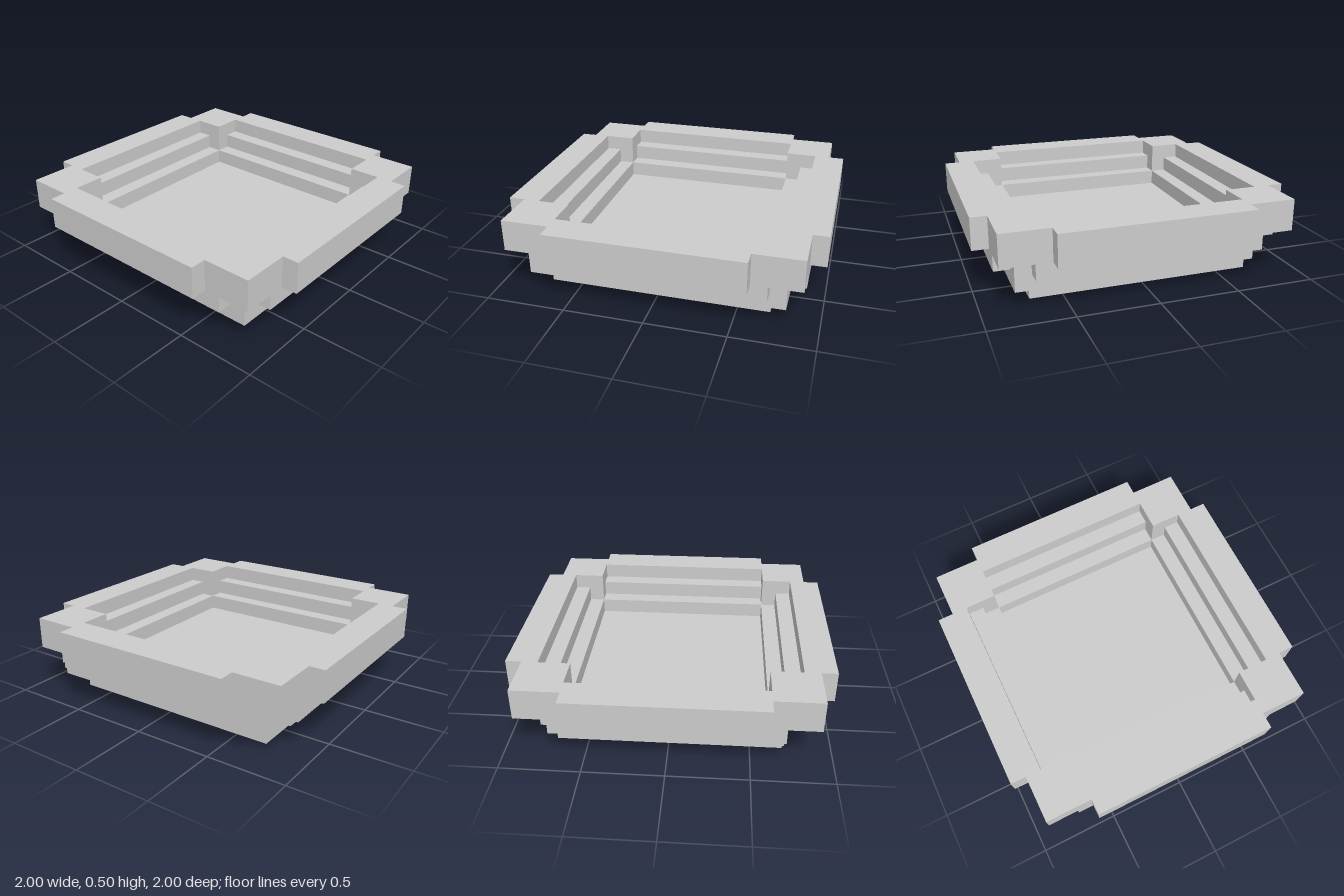
import * as THREE from 'three';

const material = new THREE.MeshStandardMaterial({ color: 0xcccccc, flatShading: true });

const toPoints = (list) => list.map(([x, y]) => new THREE.Vector2(x, y));

// Repeat the corner points of one quadrant four times around the centre.
function fourfold(quadrant) {
  const points = [];
  for (let k = 0; k < 4; k++) {
    for (const [x, y] of quadrant) {
      let p = [x, y];
      for (let i = 0; i < k; i++) p = [-p[1], p[0]];
      points.push(p);
    }
  }
  return points;
}

// One storey of the tray, drawn in plan (y of the plan points to the back).
function layer(name, outline, opening, y, height) {
  const shape = new THREE.Shape(toPoints(outline));
  if (opening) shape.holes.push(new THREE.Path(toPoints(fourfold(opening))));
  const geometry = new THREE.ExtrudeGeometry(shape, { depth: height, bevelEnabled: false });
  geometry.rotateX(-Math.PI / 2);
  const mesh = new THREE.Mesh(geometry, material);
  mesh.name = name;
  mesh.position.y = y;
  return mesh;
}

// Cross-shaped opening whose arms are 1.2 wide
const cross = (reach) => [[reach, 0.6], [0.6, 0.6], [0.6, reach]];

export function createModel() {
  const group = new THREE.Group();
  group.name = 'steppedTray';

  // Solid base; the floor slab is cut back at its two rear corners
  const base = fourfold([[0.7, 0.7]]);
  const floor = [
    [-0.8, -0.8], [0.8, -0.8], [0.8, 0.7], [0.6, 0.7],
    [0.6, 0.8], [-0.7, 0.8], [-0.7, 0.6], [-0.8, 0.6],
  ];

  // Lower wall: plain notches at the rear, stepped ones at the front
  const lowerWall = [
    [0.9, -0.7], [0.9, 0.7], [0.7, 0.7], [0.7, 0.9],
    [-0.7, 0.9], [-0.7, 0.7], [-0.9, 0.7], [-0.9, -0.7],
    [-0.8, -0.7], [-0.8, -0.8], [-0.7, -0.8], [-0.7, -0.9],
    [0.7, -0.9], [0.7, -0.8], [0.8, -0.8], [0.8, -0.7],
  ];

  // Rim: four long sides between square corner posts
  const rim = fourfold([[1, 0.6], [0.9, 0.6], [0.9, 0.9], [0.6, 0.9], [0.6, 1]]);

  group.add(
    layer('base', base, null, 0, 0.1),
    layer('floor', floor, null, 0.1, 0.1),
    layer('lowerWall', lowerWall, [[0.6, 0.6]], 0.2, 0.1),
    layer('rimLower', rim, cross(0.7), 0.3, 0.1),
    layer('rimUpper', rim, cross(0.8), 0.4, 0.1),
  );
  return group;
}
